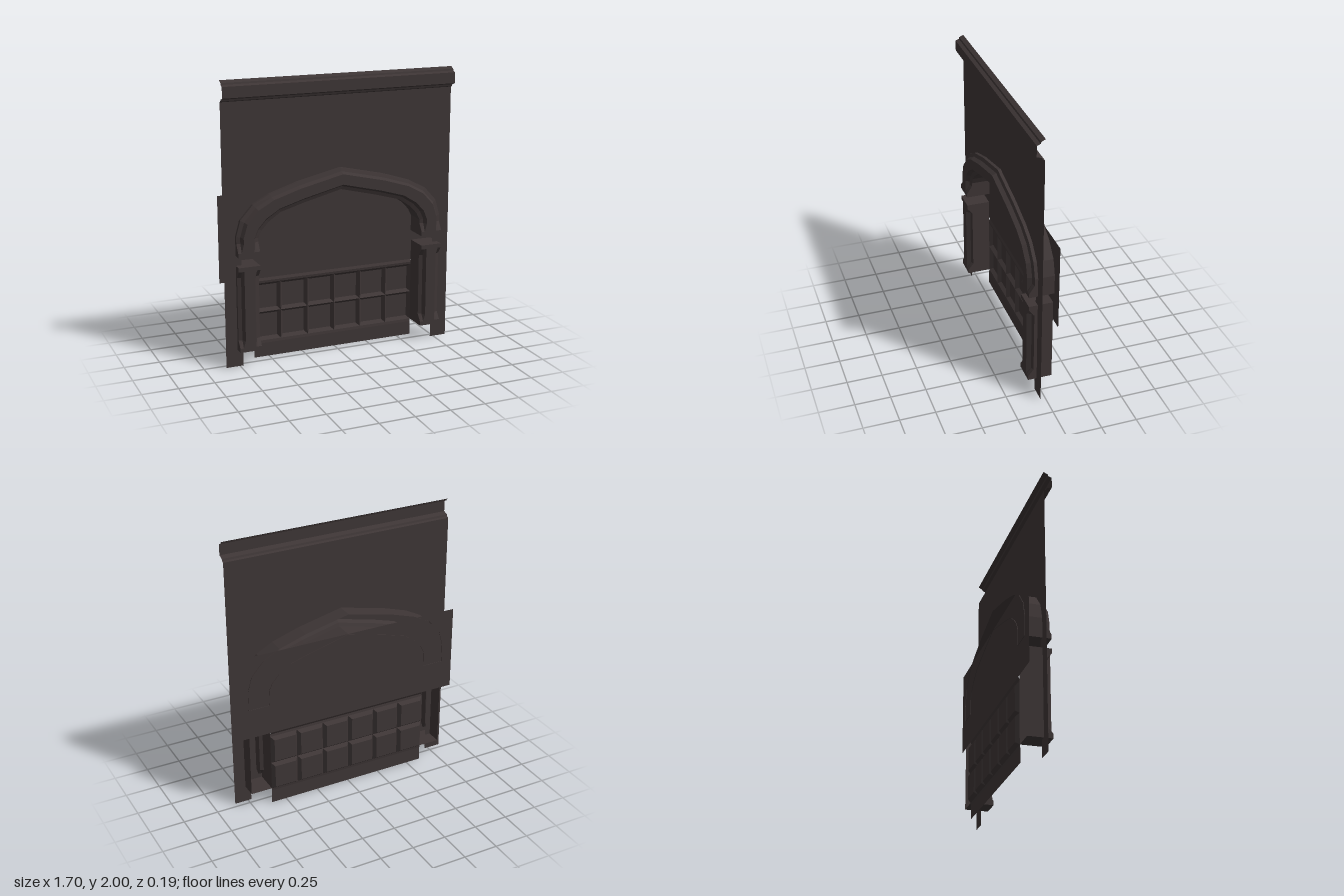
import * as THREE from 'three';

// Arch spring line upwards: [outerX, outerY, innerX, innerY, chamfer 0..1]
const ARCH = [
  [0.766, 0.80, 0.61, 0.80, 0],
  [0.766, 0.83, 0.61, 0.83, 0],
  [0.766, 0.89, 0.61, 0.89, 1],
  [0.766, 0.94, 0.61, 0.915, 1],
  [0.735, 1.05, 0.585, 0.965, 1],
  [0.645, 1.15, 0.535, 1.02, 1],
  [0.525, 1.213, 0.445, 1.081, 1],
  [0.325, 1.277, 0.275, 1.13, 1],
  [0, 1.351, 0, 1.198, 1],
];
const JAMB = [[0.12, 0], [0.15, 0], [0.20, 1], [0.65, 1], [0.70, 0], [0.73, 0]]
  .map(([y, c]) => [0.766, y, 0.61, y, c]);

// Moulding section: [fraction from outer to inner edge, depth]
const SECTION = [[0, 0.058], [0.16, 0.068], [0.26, 0.097], [0.74, 0.097], [0.84, 0.068], [1, 0.058]];
const FRONT = 0.097;

const mirrorX = ([ox, oy, ix, iy, c]) => [-ox, oy, -ix, iy, c];

function fromQuads(quads) {
  const pos = [];
  for (const [a, b, c, d] of quads) pos.push(...a, ...b, ...c, ...a, ...c, ...d);
  const g = new THREE.BufferGeometry();
  g.setAttribute('position', new THREE.Float32BufferAttribute(pos, 3));
  g.computeVertexNormals();
  return g;
}

// Skin consecutive rows of points with quads
function loft(rows) {
  const quads = [];
  for (let i = 0; i < rows.length - 1; i++)
    for (let j = 0; j < rows[i].length - 1; j++)
      quads.push([rows[i][j], rows[i][j + 1], rows[i + 1][j + 1], rows[i + 1][j]]);
  return quads;
}

// Chamfered stone member: open at the back, closed at both ends
function moulding(stations, back) {
  const rows = stations.map(([ox, oy, ix, iy, c]) => [
    [ox, oy, back],
    ...SECTION.map(([t, z]) => [ox + (ix - ox) * t, oy + (iy - oy) * t, FRONT + (z - FRONT) * c]),
    [ix, iy, back],
  ]);
  const n = rows[0].length - 1;
  const first = rows[0], last = rows[rows.length - 1];
  return fromQuads([
    ...loft(rows),
    [first[0], first[n], first[n - 1], first[1]],
    [last[0], last[1], last[n - 1], last[n]],
  ]);
}

// Strip running across the width from a [y, z] profile listed bottom to top
function strip(profile, halfWidth) {
  return fromQuads(loft(profile.map(([y, z]) => [[-halfWidth, y, z], [halfWidth, y, z]])));
}

// Recessed panels with sloping sides that meet in sharp ridges
function panelGrid(x0, x1, y0, y1, cols, rowsCount, zRidge, zFlat, bevel) {
  const quads = [];
  const w = (x1 - x0) / cols, h = (y1 - y0) / rowsCount;
  const rect = (x, y, inset, z) => [
    [x + inset, y + inset, z], [x + w - inset, y + inset, z],
    [x + w - inset, y + h - inset, z], [x + inset, y + h - inset, z],
  ];
  for (let i = 0; i < cols; i++)
    for (let j = 0; j < rowsCount; j++) {
      const o = rect(x0 + i * w, y0 + j * h, 0, zRidge);
      const f = rect(x0 + i * w, y0 + j * h, bevel, zFlat);
      quads.push(f);
      for (let k = 0; k < 4; k++) {
        const m = (k + 1) % 4;
        quads.push([o[k], o[m], f[m], f[k]]);
      }
    }
  return fromQuads(quads);
}

export function createModel() {
  const group = new THREE.Group();
  const stone = new THREE.MeshStandardMaterial({ color: 0x3d3535, side: THREE.DoubleSide });
  stone.name = 'darkStone';
  const add = (name, geometry) => {
    const mesh = new THREE.Mesh(geometry, stone);
    mesh.name = name;
    group.add(mesh);
    return mesh;
  };

  // Arch stations from the right foot over the apex to the left foot
  const archStations = [...ARCH.map(mirrorX), ...ARCH.slice(0, -1).reverse()];

  // Chimney breast sheet, cut out behind the arch and jambs
  const wall = new THREE.Shape();
  wall.moveTo(0.725, 0);
  wall.lineTo(0.85, 0);
  wall.lineTo(0.85, 1.855);
  wall.lineTo(-0.85, 1.855);
  wall.lineTo(-0.85, 0);
  wall.lineTo(-0.725, 0);
  for (const [ox, oy, ix, iy] of archStations)
    wall.lineTo(ox + (ix - ox) * 0.26, oy + (iy - oy) * 0.26);
  wall.closePath();
  add('chimneyBreast', new THREE.ShapeGeometry(wall)).position.z = 0.035;

  // Cornice along the top
  add('cornice', strip([
    [1.855, 0.035], [1.862, 0.05], [1.875, 0.055], [1.887, 0.09], [1.963, 0.09],
    [1.973, 0.066], [1.985, 0.062], [2.0, 0.033],
  ], 0.85));

  // Pointed arch and the two jambs under it
  add('arch', moulding(archStations, -0.084));
  add('rightJamb', moulding(JAMB.map(mirrorX), -0.073));
  add('leftJamb', moulding([...JAMB].reverse(), -0.073));

  // Sheet behind the arch opening
  add('backPanel', strip([[0.58, -0.08], [1.2, -0.08]], 0.85));

  // Panelled infill with plinth and top rail
  add('plinth', strip([[0, -0.07], [0.1, -0.07], [0.12, -0.073]], 0.61));
  add('recessedPanels', panelGrid(-0.61, 0.61, 0.12, 0.545, 6, 2, -0.073, -0.098, 0.021));
  add('topRail', strip([[0.545, -0.073], [0.562, -0.07], [0.58, -0.08]], 0.61));

  return group;
}
